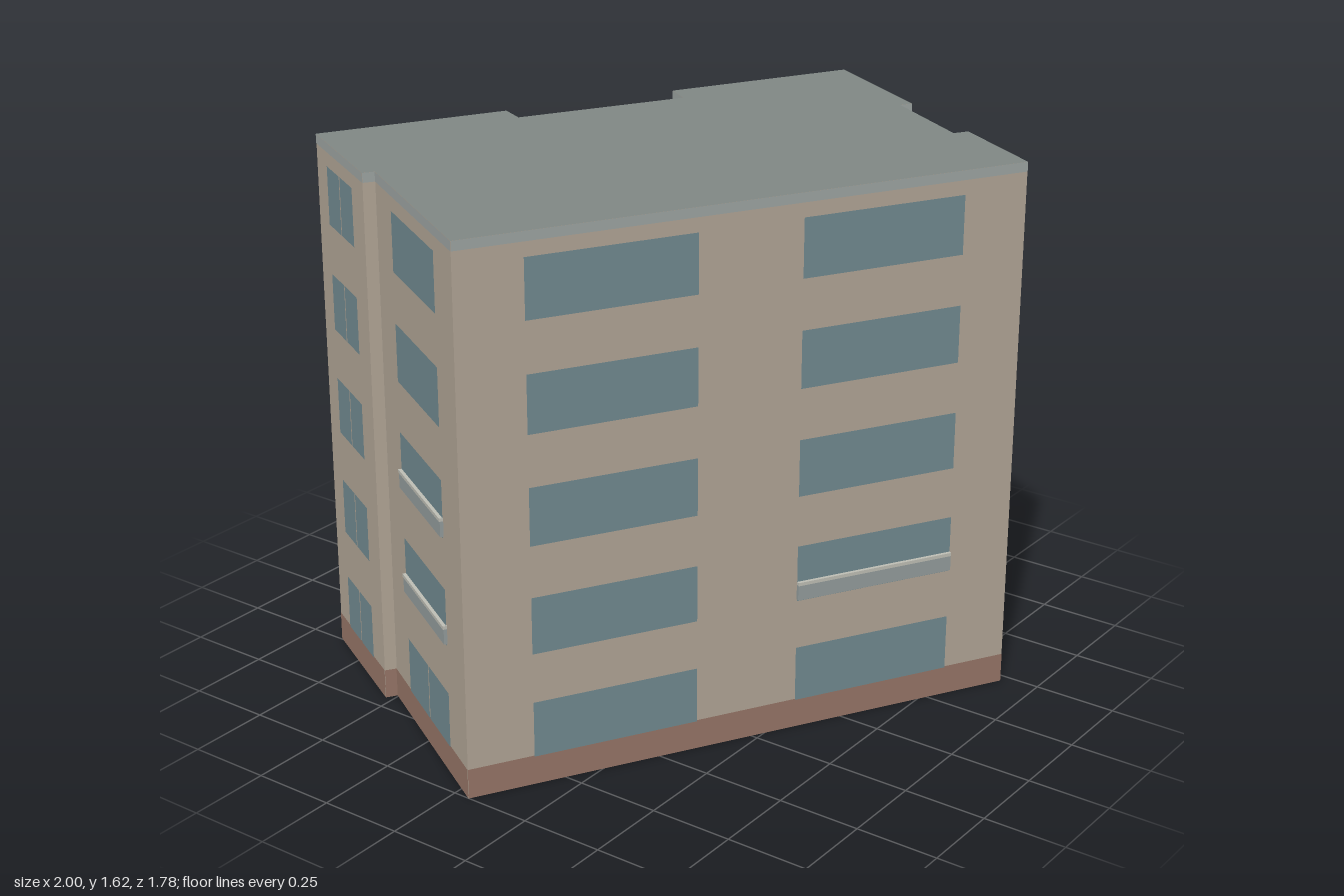
import * as THREE from 'three';

const HEIGHT = 1.62;
const BASE = 0.09;
const CORNICE = 1.592;

// Footprint corners [x, z], starting at the front wall's right-hand end
const PLAN = [
  [-1, 0.05], [0.47, 0.89], [0.632, 0.605], [0.592, 0.58], [0.755, 0.3],
  [0.79, 0.32], [1, -0.055], [0.485, -0.34], [0.44, -0.267], [-0.02, -0.53],
  [0.015, -0.605], [-0.495, -0.89], [-0.7, -0.525], [-0.67, -0.505],
];

// Bottom and top of the windows on each storey
const STOREYS = [[0.087, 0.256], [0.405, 0.576], [0.73, 0.902], [1.055, 1.226], [1.376, 1.55]];

// Windows by wall index: spans along the wall (0..1) and whether the pane is split
const WINDOWS = {
  0: { spans: [[0.116, 0.408], [0.592, 0.884]], split: [] },
  1: { spans: [[0.22, 0.77]], split: [0, 1, 2, 3, 4] },
  3: { spans: [[0.22, 0.75]], split: [0, 1, 2, 3, 4] },
  5: { spans: [[0.22, 0.76]], split: [0, 1, 2, 3, 4] },
  6: { spans: [[0.23, 0.77]], split: [0, 1, 2, 3, 4] },
  8: { spans: [[0.25, 0.74]], split: [0, 1, 2, 3, 4] },
  10: { spans: [[0.23, 0.77]], split: [0, 1, 2, 3, 4] },
  11: { spans: [[0.23, 0.77]], split: [0, 1, 2, 3, 4] },
  13: { spans: [[0.22, 0.78]], split: [0] },
};

// Balconies: wall, storey, span index
const BALCONIES = [[0, 1, 1], [13, 1, 0], [13, 2, 0]];

const paint = (color, side = THREE.FrontSide) => {
  const m = new THREE.MeshStandardMaterial({ side });
  m.color.set(color);
  return m;
};

export function createModel() {
  const model = new THREE.Group();
  model.name = 'apartmentBlock';
  const wallMat = paint(0xb0a495, THREE.DoubleSide);
  const baseMat = paint(0x957466);
  const corniceMat = paint(0x9ca3a1);
  const glassMat = paint(0x70898f);
  const balconyMat = paint(0x929b9b);
  const railMat = paint(0xbdbdb4);

  // A group per wall: local x runs along it, local z points outward
  const walls = PLAN.map(([ax, az], i) => {
    const [bx, bz] = PLAN[(i + 1) % PLAN.length];
    const wall = new THREE.Group();
    wall.name = 'wall' + i;
    wall.position.set(ax, 0, az);
    wall.rotation.y = Math.atan2(az - bz, bx - ax);
    wall.userData.length = Math.hypot(bx - ax, bz - az);
    model.add(wall);
    return wall;
  });

  const panel = (wall, name, mat, x0, x1, y0, y1, z) => {
    const mesh = new THREE.Mesh(new THREE.PlaneGeometry(x1 - x0, y1 - y0), mat);
    mesh.name = name;
    mesh.position.set((x0 + x1) / 2, (y0 + y1) / 2, z);
    wall.add(mesh);
  };
  const block = (wall, name, mat, x0, x1, y0, y1, depth) => {
    const mesh = new THREE.Mesh(new THREE.BoxGeometry(x1 - x0, y1 - y0, depth), mat);
    mesh.name = name;
    mesh.position.set((x0 + x1) / 2, (y0 + y1) / 2, depth / 2);
    wall.add(mesh);
  };

  // Facades with plinth, cornice and window panes
  walls.forEach((wall, i) => {
    const len = wall.userData.length;
    panel(wall, 'facade', wallMat, 0, len, 0, HEIGHT, 0);
    panel(wall, 'plinth', baseMat, 0, len, 0, BASE, 0.001);
    panel(wall, 'cornice', corniceMat, 0, len, CORNICE, HEIGHT, 0.001);
    if (!WINDOWS[i]) return;
    const { spans, split } = WINDOWS[i];
    for (const [s, e] of spans) {
      STOREYS.forEach(([y0, y1], storey) => {
        const x0 = s * len, x1 = e * len, mid = (x0 + x1) / 2;
        if (split.includes(storey)) {
          panel(wall, 'windowPane', glassMat, x0, mid - 0.003, y0, y1, 0.002);
          panel(wall, 'windowPane', glassMat, mid + 0.003, x1, y0, y1, 0.002);
        } else {
          panel(wall, 'windowPane', glassMat, x0, x1, y0, y1, 0.002);
        }
      });
    }
  });

  // Shallow balcony fronts with a handrail
  for (const [w, storey, span] of BALCONIES) {
    const wall = walls[w];
    const [x0, x1] = WINDOWS[w].spans[span].map((t) => t * wall.userData.length);
    const y = STOREYS[storey][0] + 0.005;
    block(wall, 'balconyFront', balconyMat, x0, x1, y, y + 0.046, 0.01);
    block(wall, 'balconyRail', railMat, x0, x1, y + 0.046, y + 0.056, 0.012);
  }

  // Flat roof
  const outline = new THREE.Shape(PLAN.map(([x, z]) => new THREE.Vector2(x, -z)));
  const roof = new THREE.Mesh(new THREE.ShapeGeometry(outline), paint(0x7f8784, THREE.DoubleSide));
  roof.name = 'roof';
  roof.rotation.x = -Math.PI / 2;
  roof.position.y = HEIGHT;
  model.add(roof);

  return model;
}
